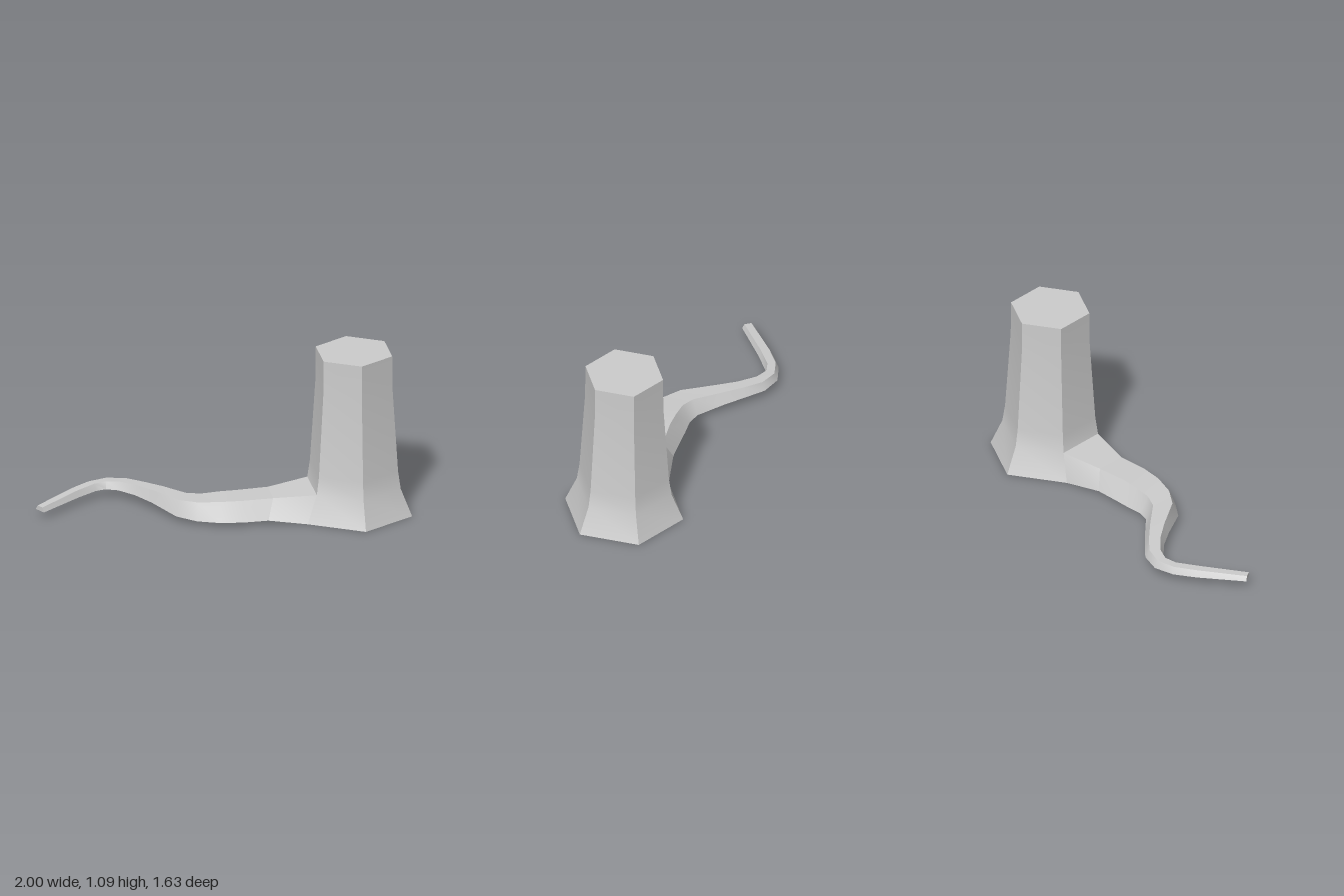
import * as THREE from 'three';
import { toCreasedNormals } from 'three/addons/utils/BufferGeometryUtils.js';

const CREASE = 0.6;
const CENTRE = [0.608, 0.477];

// Closed-ended loft through four-cornered rings (topL, topR, bottomR, bottomL)
function loft(rings) {
  const index = [];
  for (let i = 0; i < rings.length - 1; i++) {
    for (let k = 0; k < 4; k++) {
      const n = (k + 1) % 4;
      const a = i * 4 + k, b = i * 4 + n, c = b + 4, d = a + 4;
      index.push(a, b, c, a, c, d);
    }
  }
  const e = (rings.length - 1) * 4;
  index.push(e, e + 1, e + 2, e, e + 2, e + 3);
  const g = new THREE.BufferGeometry();
  g.setAttribute('position', new THREE.Float32BufferAttribute(rings.flat(2), 3));
  g.setIndex(index);
  return toCreasedNormals(g, CREASE);
}

// Trapezoid ring: outer corners on the underside, top corners inset
function section([lx, lz, rx, rz, bottom, top], insetL = 0.18, insetR = 0.22) {
  const dx = rx - lx, dz = rz - lz;
  return [
    [lx + dx * insetL, top, lz + dz * insetL],
    [rx - dx * insetR, top, rz - dz * insetR],
    [rx, bottom, rz],
    [lx, bottom, lz],
  ];
}

export function createModel() {
  const group = new THREE.Group();
  const material = new THREE.MeshStandardMaterial({ color: 0xcccccc });
  const add = (name, geometry) => {
    const mesh = new THREE.Mesh(geometry, material);
    mesh.name = name;
    group.add(mesh);
  };

  // Six-sided trunk with a flared foot
  const profile = [[0, 0], [0.392, 0], [0.315, 0.18], [0.297, 0.3], [0.26, 0.86], [0.258, 1.088], [0, 1.088]]
    .map(([r, y]) => new THREE.Vector2(r, y));
  const trunk = new THREE.LatheGeometry(profile, 6, Math.PI / 2);
  trunk.translate(CENTRE[0], 0, CENTRE[1]);
  add('trunk', toCreasedNormals(trunk, CREASE));

  // Collar joining the back-right foot face to the root
  const corner = (r, y, angle) => [CENTRE[0] + r * Math.cos(angle), y, CENTRE[1] + r * Math.sin(angle)];
  const left = Math.PI, right = Math.PI * 4 / 3;
  const foot = [corner(0.315, 0.18, left), corner(0.315, 0.18, right), corner(0.392, 0, right), corner(0.392, 0, left)];
  const neck = [[0.09, 0.155, 0.285], [0.19, 0.155, 0.12], [0.18, 0.03, 0.05], [0.02, 0.03, 0.32]];
  add('rootCollar', loft([foot, neck]));

  // Winding root: left x, z, right x, z, underside y, top y
  const stations = [
    [-0.11, 0.24, 0.04, -0.03, 0.028, 0.155],
    [-0.23, 0.15, -0.05, -0.085, 0.028, 0.152],
    [-0.33, 0.03, -0.14, -0.135, 0.03, 0.142],
    [-0.385, -0.11, -0.195, -0.2, 0.035, 0.135],
    [-0.383, -0.35, -0.235, -0.38, 0.055, 0.13],
    [-0.39, -0.5, -0.272, -0.53, 0.06, 0.122],
    [-0.42, -0.63, -0.31, -0.67, 0.062, 0.115],
    [-0.465, -0.7, -0.4, -0.775, 0.06, 0.108],
    [-0.53, -0.725, -0.53, -0.815, 0.058, 0.103],
    [-0.68, -0.72, -0.68, -0.81, 0.056, 0.098],
    [-1, -0.69, -1, -0.768, 0.05, 0.08],
  ];
  add('root', loft([neck, ...stations.map((s) => section(s))]));

  return group;
}
